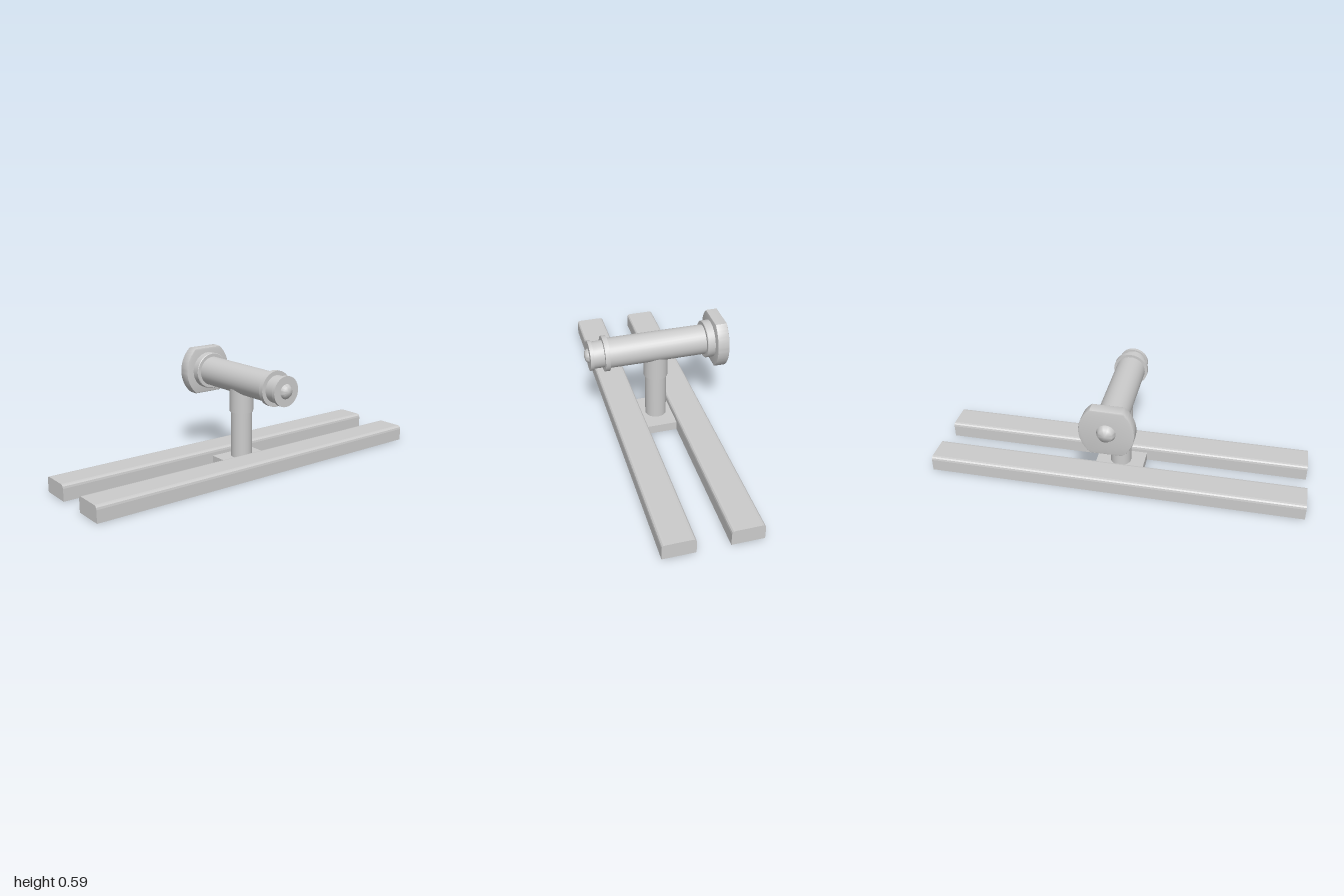
import * as THREE from 'three';
import { toCreasedNormals } from 'three/addons/utils/BufferGeometryUtils.js';

const material = new THREE.MeshStandardMaterial({ color: 0xcccccc });
const shellMaterial = new THREE.MeshStandardMaterial({ color: 0xcccccc, side: THREE.DoubleSide });
const AXIS_Y = 0.465, MID_X = 0.006;

function add(parent, name, geometry, mat = material) {
  const mesh = new THREE.Mesh(geometry, mat);
  mesh.name = name;
  parent.add(mesh);
  return mesh;
}

// Removes the faces lying on the ground, leaving a shell open below
function openBelow(geometry) {
  const source = geometry.index ? geometry.toNonIndexed() : geometry;
  const p = source.attributes.position;
  const kept = [];
  for (let i = 0; i < p.count; i += 3) {
    if ([0, 1, 2].every((k) => Math.abs(p.getY(i + k)) < 1e-5)) continue;
    for (let k = 0; k < 3; k++) kept.push(p.getX(i + k), p.getY(i + k), p.getZ(i + k));
  }
  const shell = new THREE.BufferGeometry();
  shell.setAttribute('position', new THREE.Float32BufferAttribute(kept, 3));
  shell.computeVertexNormals();
  return shell;
}

// Solid of revolution about the x axis; profile is [x, radius] from -x to +x
function turned(profile, crease = 0.6) {
  const points = profile.map(([x, r]) => new THREE.Vector2(r, x));
  const geometry = new THREE.LatheGeometry(points, 32).rotateZ(-Math.PI / 2);
  return toCreasedNormals(geometry, crease).translate(0, AXIS_Y, 0);
}

// Section of a runner: flat base, softened top corners
function runnerGeometry() {
  const w = 0.0815, h = 0.083, c = 0.019;
  const s = new THREE.Shape();
  s.moveTo(-w, 0);
  s.lineTo(w, 0);
  s.lineTo(w, h - c);
  s.quadraticCurveTo(w, h, w - c, h);
  s.lineTo(-w + c, h);
  s.quadraticCurveTo(-w, h, -w, h - c);
  s.closePath();
  const g = new THREE.ExtrudeGeometry(s, { depth: 2, bevelEnabled: false, curveSegments: 3 });
  return openBelow(g.translate(0, 0, -1));
}

// Round wheel with flats cut at top and bottom, and softened rims
function wheelGeometry() {
  const bevel = 0.005, half = 0.125 - bevel, offset = 0.023, r = 0.162 - bevel;
  const a = Math.asin(half / r);
  const s = new THREE.Shape();
  s.absarc(-offset, 0, r, -a, a, false);
  s.absarc(offset, 0, r, Math.PI - a, Math.PI + a, false);
  s.closePath();
  const g = new THREE.ExtrudeGeometry(s, {
    depth: 0.052, bevelThickness: bevel, bevelSize: bevel, bevelSegments: 2, curveSegments: 16,
  });
  return toCreasedNormals(g.rotateY(Math.PI / 2), 0.5).translate(-0.347, AXIS_Y, 0);
}

export function createModel() {
  const model = new THREE.Group();
  model.name = 'mountedScope';

  // Two long runners
  const base = new THREE.Group();
  base.name = 'base';
  model.add(base);
  for (const [side, name] of [[-1, 'rightRunner'], [1, 'leftRunner']]) {
    add(base, name, runnerGeometry(), shellMaterial).position.x = MID_X + side * 0.1635;
  }

  // Plate tying the runners together
  const plate = new THREE.BoxGeometry(0.264, 0.047, 0.26).translate(MID_X, 0.0235, 0);
  add(base, 'crossPlate', openBelow(plate), shellMaterial);

  // Post and the sleeve that carries the barrel
  const post = new THREE.CylinderGeometry(0.056, 0.056, 0.4, 32, 1, true);
  add(model, 'post', post.translate(MID_X, 0.2, 0), shellMaterial);
  const sleeve = new THREE.CylinderGeometry(0.063, 0.063, 0.147, 32, 1, true);
  add(model, 'sleeve', sleeve.translate(MID_X, 0.3665, 0), shellMaterial);

  // Barrel with its collars
  const head = new THREE.Group();
  head.name = 'barrelAssembly';
  model.add(head);
  const drum = (x0, x1, r, b = 0) => turned(
    b ? [[x0, 0], [x0, r - b], [x0 + b, r], [x1 - b, r], [x1, r - b], [x1, 0]]
      : [[x0, 0], [x0, r], [x1, r], [x1, 0]]);
  add(head, 'barrel', drum(-0.26, 0.27, 0.078));
  add(head, 'wheelCollar', drum(-0.295, -0.249, 0.098, 0.003));
  add(head, 'barrelRing', drum(0.261, 0.286, 0.092));
  add(head, 'neck', drum(0.28, 0.345, 0.07));
  add(head, 'endRing', drum(0.342, 0.36, 0.078));
  add(head, 'wheel', wheelGeometry());

  // Domed caps at both ends
  add(head, 'wheelCap', turned([[-0.384, 0], [-0.376, 0.035], [-0.352, 0.048], [-0.345, 0.048]], 1.2));
  add(head, 'endCap', turned([[0.355, 0.038], [0.36, 0.038], [0.375, 0.027], [0.382, 0]], 1.2));

  return model;
}
